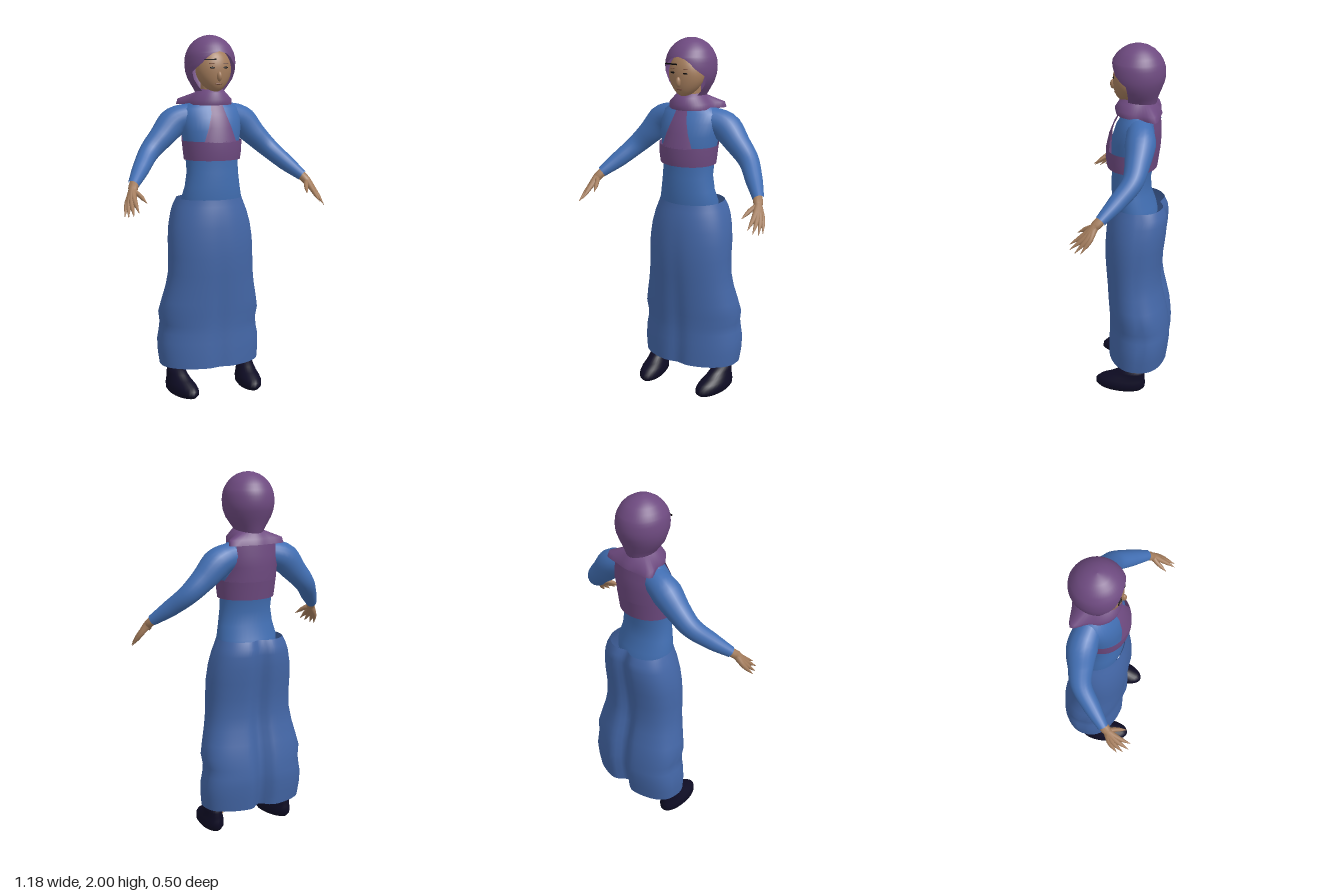
import * as THREE from 'three';
import { mergeVertices } from 'three/addons/utils/BufferGeometryUtils.js';

const mat = (name, color, side = THREE.FrontSide) => {
  const m = new THREE.MeshStandardMaterial({ color, side });
  m.name = name;
  return m;
};

// Skin of rings, listed upward. Row: [y, halfWidth, zFront, zBack, startAngle, endAngle]; angle 0 is the front.
function loft(rows, segs, warp) {
  const pos = [], idx = [];
  for (const [y, w, zf, zb, a0 = 0, a1 = Math.PI * 2 - a0] of rows) {
    for (let j = 0; j <= segs; j++) {
      const a = a0 + (a1 - a0) * j / segs;
      const p = new THREE.Vector3(w * Math.sin(a), y, (zf + zb) / 2 + (zf - zb) / 2 * Math.cos(a));
      if (warp) warp(p, a);
      pos.push(p.x, p.y, p.z);
    }
  }
  for (let i = 0; i < rows.length - 1; i++) {
    for (let j = 0; j < segs; j++) {
      const a = i * (segs + 1) + j, b = a + segs + 1;
      idx.push(a, a + 1, b + 1, a, b + 1, b);
    }
  }
  let g = new THREE.BufferGeometry();
  g.setAttribute('position', new THREE.Float32BufferAttribute(pos, 3));
  g.setIndex(idx);
  g = mergeVertices(g, 1e-5);
  g.computeVertexNormals();
  return g;
}

// Tube along a smooth path whose radius follows a list
function limb(points, radii, sides = 14) {
  const n = 24;
  const curve = new THREE.CatmullRomCurve3(points.map(p => new THREE.Vector3(...p)));
  const g = new THREE.TubeGeometry(curve, n, 1, sides);
  const pos = g.attributes.position, v = new THREE.Vector3();
  for (let k = 0; k < pos.count; k++) {
    const u = Math.floor(k / (sides + 1)) / n;
    const f = u * (radii.length - 1), i = Math.min(Math.floor(f), radii.length - 2);
    const r = THREE.MathUtils.lerp(radii[i], radii[i + 1], f - i);
    const c = curve.getPointAt(u);
    v.fromBufferAttribute(pos, k).sub(c).multiplyScalar(r).add(c);
    pos.setXYZ(k, v.x, v.y, v.z);
  }
  return g;
}

export function createModel() {
  const model = new THREE.Group();
  const purple = mat('purple cloth', 0x6e4a80, THREE.DoubleSide);
  const blouse = mat('blouse blue', 0x416eb2);
  const blue = mat('skirt blue', 0x4366a6, THREE.DoubleSide);
  const skin = mat('skin', 0xa37c5c);
  const lip = mat('lip', 0x805743);
  const navy = mat('shoe navy', 0x0e0c24);
  const black = mat('black', 0x0a0808);
  const add = (name, geo, material) => {
    const m = new THREE.Mesh(geo, material);
    m.name = name;
    model.add(m);
    return m;
  };
  const ball = (name, material, [x, y, z], [sx, sy, sz]) => {
    const m = add(name, new THREE.SphereGeometry(1, 16, 12), material);
    m.position.set(x, y, z);
    m.scale.set(sx, sy, sz);
  };

  // Skirt: open at both ends, with a cleft down the back and a faint one in front
  add('skirt', loft([
    [0.15, 0.29, 0.105, -0.24], [0.22, 0.298, 0.105, -0.25], [0.29, 0.298, 0.102, -0.258],
    [0.34, 0.288, 0.1, -0.258], [0.39, 0.283, 0.1, -0.254], [0.45, 0.294, 0.103, -0.247],
    [0.52, 0.28, 0.108, -0.233], [0.6, 0.262, 0.112, -0.215], [0.68, 0.25, 0.118, -0.205],
    [0.78, 0.247, 0.124, -0.21], [0.87, 0.245, 0.122, -0.222], [0.95, 0.235, 0.116, -0.232],
    [1.02, 0.217, 0.106, -0.237], [1.06, 0.202, 0.095, -0.232], [1.1, 0.185, 0.087, -0.215]
  ], 72, (p, a) => {
    const c = Math.cos(a), dip = Math.exp(-((p.x / 0.045) ** 2)), low = 1.1 - p.y;
    if (c < 0) {
      const zc = p.z / (1 + 0), flat = Math.pow(-c, 0.7) / Math.max(-c, 1e-6);
      p.z = -0.065 + (zc + 0.065) * (c < -0.01 ? flat : 1) + dip * (0.03 + 0.03 * low);
    } else p.z -= dip * 0.018 * low;
  }), blue);

  // Torso
  add('torso', loft([
    [1.05, 0.17, 0.075, -0.17], [1.1, 0.176, 0.083, -0.16], [1.17, 0.16, 0.085, -0.135],
    [1.25, 0.149, 0.085, -0.13], [1.32, 0.15, 0.08, -0.145], [1.4, 0.158, 0.086, -0.16],
    [1.48, 0.172, 0.082, -0.17], [1.55, 0.176, 0.06, -0.168], [1.6, 0.165, 0.03, -0.16],
    [1.635, 0.115, 0.005, -0.145], [1.68, 0.06, -0.01, -0.13]
  ], 40), blouse);

  // Vest: band round the chest, tapering front strap, back panel
  add('vestBand', loft([
    [1.32, 0.16, 0.11, -0.165], [1.37, 0.166, 0.117, -0.172], [1.425, 0.17, 0.115, -0.18]
  ], 40), purple);
  add('vestFront', loft([
    [1.42, 0.168, 0.116, -0.18, -0.6, 0.6], [1.5, 0.165, 0.098, -0.18, -0.42, 0.42],
    [1.57, 0.16, 0.07, -0.18, -0.28, 0.28], [1.64, 0.15, 0.03, -0.17, -0.2, 0.2]
  ], 12), purple);
  add('vestBack', loft([
    [1.42, 0.17, 0.115, -0.18, 1.9], [1.5, 0.18, 0.09, -0.186, 2.3],
    [1.56, 0.18, 0.07, -0.184, 2.45], [1.63, 0.17, 0.04, -0.175, 2.35]
  ], 20), purple);

  // Collar, with two corners spreading over the shoulder blades
  add('collar', loft([
    [1.62, 0.122, 0.06, -0.188], [1.65, 0.118, 0.066, -0.178],
    [1.685, 0.085, 0.045, -0.15], [1.705, 0.068, 0.02, -0.13]
  ], 48, (p, a) => {
    if (p.y < 1.66) {
      const corner = Math.exp(-(((Math.abs(a - Math.PI) - 0.9) / 0.35) ** 2));
      p.x *= 1 + 0.65 * corner;
      p.z -= 0.025 * corner;
    }
  }), purple);

  // Hood with an arched face opening
  add('hood', loft([
    [1.66, 0.07, 0.01, -0.15], [1.685, 0.074, 0.02, -0.158, 0.85], [1.72, 0.097, 0.045, -0.168, 1.1],
    [1.76, 0.123, 0.07, -0.184, 1.2], [1.8, 0.136, 0.086, -0.199, 1.2], [1.825, 0.139, 0.089, -0.204, 0.95],
    [1.85, 0.14, 0.09, -0.205, 0.72], [1.88, 0.137, 0.087, -0.202, 0.52], [1.9, 0.132, 0.082, -0.196, 0.32],
    [1.912, 0.127, 0.078, -0.191], [1.94, 0.112, 0.06, -0.175], [1.965, 0.09, 0.036, -0.152],
    [1.985, 0.06, 0.005, -0.12], [1.996, 0.03, -0.027, -0.089], [2.0, 0.0001, -0.0575, -0.0577]
  ], 48), purple);

  // Head, narrowing to the chin
  const head = new THREE.SphereGeometry(1, 32, 24);
  const hp = head.attributes.position;
  for (let i = 0; i < hp.count; i++) {
    const y = hp.getY(i), t = Math.min(y, 0) ** 2;
    hp.setXYZ(i, hp.getX(i) * 0.1 * (1 - 0.25 * t), 1.81 + y * 0.12, -0.01 + hp.getZ(i) * 0.085 + 0.025 * t);
  }
  head.computeVertexNormals();
  add('head', head, skin);
  add('neck', new THREE.CylinderGeometry(0.05, 0.055, 0.12, 20).translate(0, 1.68, -0.06), skin);
  ball('nose', skin, [0, 1.777, 0.074], [0.014, 0.027, 0.017]);
  ball('mouth', lip, [0, 1.737, 0.064], [0.022, 0.006, 0.005]);
  add('hairStrand', new THREE.BoxGeometry(0.07, 0.007, 0.006).translate(-0.05, 1.868, 0.068), black);

  for (const s of [1, -1]) {
    const side = s > 0 ? 'left' : 'right';
    const flip = list => list.map(([x, y, z]) => [s * x, y, z]);

    ball(side + 'Eye', black, [s * 0.038, 1.824, 0.068], [0.016, 0.005, 0.005]);
    ball(side + 'Brow', lip, [s * 0.04, 1.846, 0.065], [0.02, 0.003, 0.005]);

    // Sleeve
    add(side + 'Arm', limb(flip([
      [0.1, 1.56, -0.075], [0.195, 1.53, -0.088], [0.28, 1.447, -0.08],
      [0.36, 1.368, -0.06], [0.435, 1.287, 0.012], [0.508, 1.212, 0.092]
    ]), [0.07, 0.083, 0.066, 0.054, 0.046, 0.03], 20), blouse);

    // Hand: each finger runs from the wrist through its knuckle, so together they form the palm
    const fingers = {
      littleFinger: [[0.56, 1.125, 0.14], [0.589, 1.06, 0.187]],
      ringFinger: [[0.556, 1.125, 0.158], [0.579, 1.058, 0.218]],
      middleFinger: [[0.545, 1.13, 0.172], [0.56, 1.068, 0.246]],
      indexFinger: [[0.53, 1.138, 0.178], [0.532, 1.085, 0.25]],
      thumb: [[0.5, 1.17, 0.15], [0.474, 1.128, 0.213]]
    };
    for (const [name, [knuckle, tip]] of Object.entries(fingers)) {
      const thin = name === 'thumb' ? 0.013 : 0.016;
      add(side + name[0].toUpperCase() + name.slice(1),
        limb(flip([[0.497, 1.222, 0.082], [0.52, 1.187, 0.118], knuckle, tip]),
          [0.026, 0.024, thin, 0.011, 0.001], 10), skin);
    }

    // Leg, ankle and shoe
    add(side + 'Leg', limb(flip([[0.1, 1.0, -0.05], [0.15, 0.6, -0.05], [0.2, 0.17, -0.07]]),
      [0.08, 0.06, 0.04]), blouse);
    add(side + 'Ankle', new THREE.CylinderGeometry(0.036, 0.036, 0.1, 16).translate(s * 0.205, 0.15, -0.07), skin);
    add(side + 'Shoe', loft([
      [0, 0.001, 0.021, 0.019], [0.002, 0.055, 0.145, -0.105], [0.02, 0.068, 0.164, -0.12],
      [0.045, 0.068, 0.162, -0.124], [0.065, 0.062, 0.14, -0.122], [0.085, 0.054, 0.09, -0.12],
      [0.11, 0.048, 0.045, -0.12], [0.14, 0.042, 0.005, -0.115], [0.143, 0.001, -0.054, -0.056]
    ], 28, p => { p.x += s * (0.208 - 0.12 * p.z); }), navy);
  }
  return model;
}
